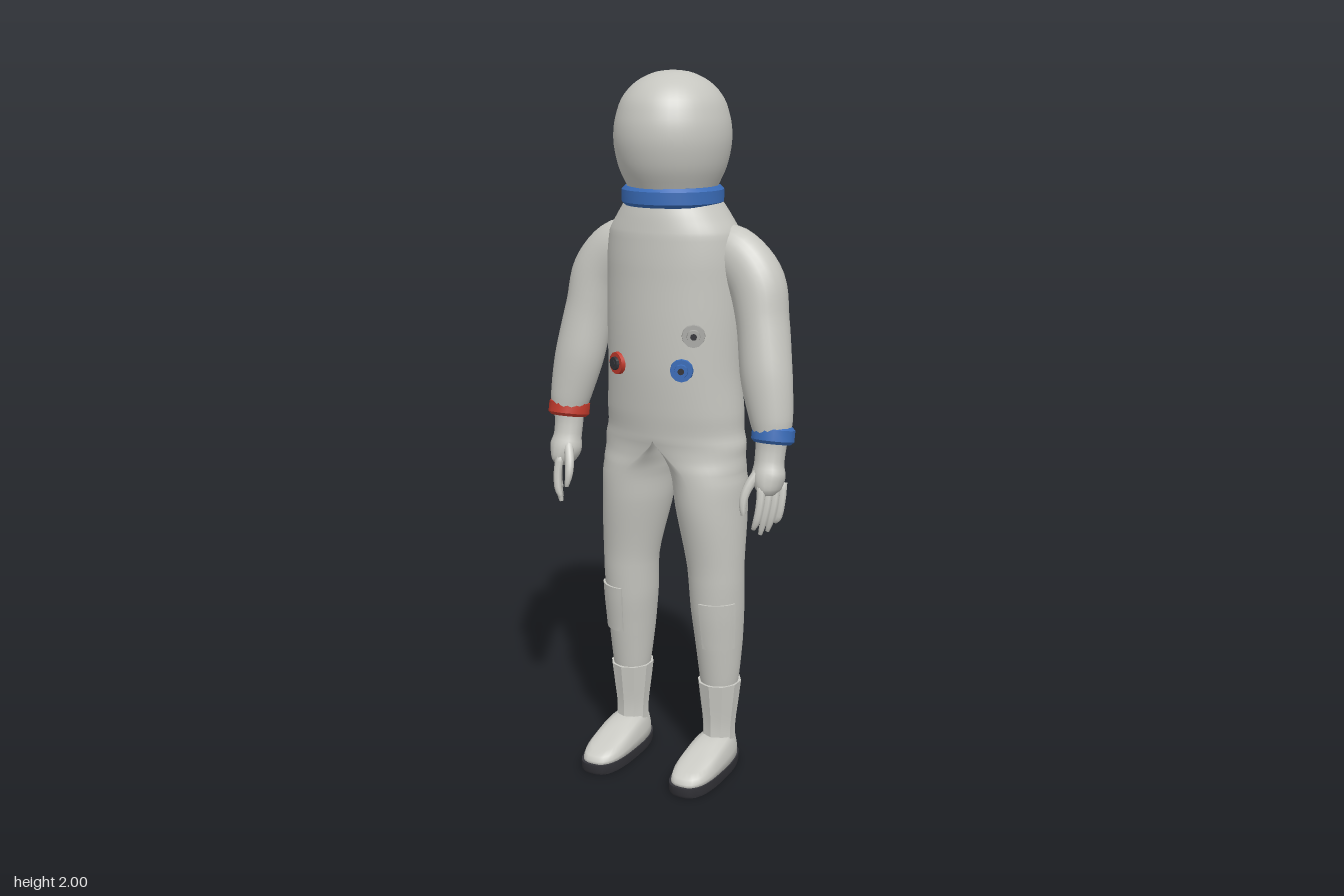
import * as THREE from 'three';
import { mergeGeometries, mergeVertices, toCreasedNormals } from 'three/addons/utils/BufferGeometryUtils.js';

const V = (x, y, z) => new THREE.Vector3(x, y, z);

function material(name, color) {
  const m = new THREE.MeshStandardMaterial({ color });
  m.name = name;
  return m;
}

function add(parent, name, geometry, mat) {
  const mesh = new THREE.Mesh(geometry, mat);
  mesh.name = name;
  parent.add(mesh);
  return mesh;
}

// Joins rings of points into a surface; closed rings get end caps.
function skin(rings, closed = true) {
  const n = rings[0].length, pos = [], idx = [];
  rings.flat().forEach(p => pos.push(p.x, p.y, p.z));
  const cols = closed ? n : n - 1;
  for (let i = 0; i < rings.length - 1; i++) {
    for (let j = 0; j < cols; j++) {
      const k = (j + 1) % n, a = i * n + j, b = i * n + k;
      idx.push(a, b, a + n, b, b + n, a + n);
    }
  }
  if (closed) {
    [0, rings.length - 1].forEach(r => {
      const c = rings[r].reduce((s, p) => s.add(p), V(0, 0, 0)).divideScalar(n);
      const ci = pos.length / 3;
      pos.push(c.x, c.y, c.z);
      for (let j = 0; j < n; j++) {
        const a = r * n + j, b = r * n + (j + 1) % n;
        idx.push(ci, r ? a : b, r ? b : a);
      }
    });
  }
  const g = new THREE.BufferGeometry();
  g.setAttribute('position', new THREE.Float32BufferAttribute(pos, 3));
  g.setIndex(idx);
  g.computeVertexNormals();
  return g;
}

// Splines elliptic sections [x, y, z, outer radius, front-back radius, inner radius] along a path.
// An open arc (from..to) becomes a raised plate whose border drops to the surface.
function loft(sections, { steps = 32, sides = 28, flat = false, from = 0, to = Math.PI * 2, range = [0, 1], grow = 0, minX = -9 } = {}) {
  const centre = new THREE.CatmullRomCurve3(sections.map(s => V(s[0], s[1], s[2])));
  const radii = new THREE.CatmullRomCurve3(sections.map(s => V(s[3], s[4], s[5] ?? s[3])));
  const closed = to - from > 6.28, count = closed ? sides : sides + 1;
  const fraction = (i, n) => closed ? i / n : THREE.MathUtils.clamp((i - 1) / (n - 2), 0, 1);
  const rings = [];
  for (let i = 0; i <= steps; i++) {
    const k = THREE.MathUtils.lerp(...range, fraction(i, steps));
    const c = centre.getPoint(k), r = radii.getPoint(k);
    const t = flat ? V(0, -1, 0) : centre.getTangent(k);
    const u = V(0, 0, 1).addScaledVector(t, -t.z).normalize();
    const v = u.clone().cross(t);
    const ring = [];
    for (let j = 0; j < count; j++) {
      const a = THREE.MathUtils.lerp(from, to, fraction(j, sides));
      const rim = i === 0 || i === steps || j === 0 || j === count - 1;
      const lift = rim ? -grow / 2 : grow;
      const p = c.clone().addScaledVector(v, ((Math.cos(a) < 0 ? r.z : r.x) + lift) * Math.cos(a))
        .addScaledVector(u, (r.y + lift) * Math.sin(a));
      p.x = Math.max(minX, p.x);
      ring.push(p);
    }
    rings.push(ring);
  }
  return skin(rings, closed);
}

// Welds a half body to its mirror image, dropping the faces on the middle plane.
function mirrorWeld(half) {
  const p = half.attributes.position, src = half.index.array, keep = [], flip = [];
  for (let i = 0; i < src.length; i += 3) {
    const [a, b, c] = [src[i], src[i + 1], src[i + 2]];
    if (Math.max(p.getX(a), p.getX(b), p.getX(c)) < 1e-5) continue;
    keep.push(a, b, c);
    flip.push(a, c, b);
  }
  half.deleteAttribute('normal');
  const other = half.clone().scale(-1, 1, 1);
  half.setIndex(keep);
  other.setIndex(flip);
  const whole = mergeVertices(mergeGeometries([half, other]), 1e-5);
  whole.computeVertexNormals();
  return whole;
}

// Bevelled ring for the neck and the wrists.
function band(inner, outer, h, sides) {
  const b = h * 0.18;
  const p = [[inner, -h / 2], [outer - b, -h / 2], [outer, -h / 2 + b], [outer, h / 2 - b], [outer - b, h / 2], [inner, h / 2], [inner, -h / 2]];
  return toCreasedNormals(new THREE.LatheGeometry(p.map(q => new THREE.Vector2(...q)), sides), 0.6);
}

// Shoe outline, narrower at the heel, shrunk by s; y is given as a function of z.
function footRing(s, yAt, n = 32) {
  return Array.from({ length: n }, (_, j) => {
    const a = j / n * Math.PI * 2, c = Math.cos(a), d = Math.sin(a);
    const round = q => Math.sign(q) * Math.abs(q) ** 0.75;
    const z = 0.038 + 0.162 * round(d) * s;
    return V(-(0.063 + 0.006 * d) * round(c) * s, yAt(z), z);
  });
}

export function createModel() {
  const model = new THREE.Group();
  model.name = 'spacesuitFigure';
  const suit = material('suit grey', 0xc6c6c0);
  const bootMat = material('boot grey', 0xcacac4);
  const blue = material('blue trim', 0x3a6cb8);
  const red = material('red trim', 0xc23a2c);
  const dark = material('sole black', 0x333338);
  const metal = material('valve grey', 0xa9a9a5);

  // Torso running into the legs: y, centre x, outer and inner radius, front z, back z
  const body = [
    [1.67, 0, 0.125, 0, 0.085, -0.15], [1.62, 0, 0.16, 0, 0.098, -0.17], [1.57, 0, 0.19, 0, 0.106, -0.183],
    [1.48, 0, 0.2, 0, 0.11, -0.195], [1.35, 0, 0.2, 0, 0.112, -0.194], [1.2, 0, 0.198, 0, 0.11, -0.187],
    [1.08, 0, 0.206, 0, 0.1, -0.187], [1.0, 0, 0.212, 0, 0.09, -0.182], [0.95, 0.045, 0.17, 0.045, 0.08, -0.165],
    [0.9, 0.095, 0.122, 0.088, 0.078, -0.158], [0.8, 0.12, 0.1, 0.1, 0.075, -0.155], [0.62, 0.139, 0.081, 0.081, 0.053, -0.117],
    [0.5, 0.142, 0.076, 0.076, 0.045, -0.123], [0.39, 0.145, 0.067, 0.067, 0.031, -0.121],
    [0.27, 0.147, 0.055, 0.055, 0.013, -0.103], [0.2, 0.147, 0.04, 0.04, 0, -0.09]
  ].map(([y, x, ro, ri, f, b]) => [x, y, (f + b) / 2, ro, (f - b) / 2, ri]);
  add(model, 'bodyAndLegs', mirrorWeld(loft(body, { flat: true, steps: 90, sides: 40, minX: 0 })), suit);

  // Helmet and neck ring
  const dome = new THREE.SplineCurve([[0.108, 1.665], [0.122, 1.695], [0.144, 1.745], [0.156, 1.8], [0.157, 1.845], [0.15, 1.885],
    [0.134, 1.928], [0.1, 1.967], [0.05, 1.993], [0, 2]].map(p => new THREE.Vector2(...p)));
  const helmet = add(model, 'helmet', new THREE.LatheGeometry(dome.getPoints(32), 40), suit);
  helmet.scale.z = 1.09;
  helmet.position.z = -0.028;
  add(model, 'neckRing', band(0.1, 0.14, 0.052, 40), blue).position.set(0, 1.669, -0.028);

  // Arms, hands and boots are built for +x and mirrored
  const armPath = [
    [0.09, 1.54, -0.05, 0.055, 0.05], [0.18, 1.515, -0.048, 0.077, 0.064], [0.245, 1.445, -0.048, 0.08, 0.074],
    [0.273, 1.34, -0.037, 0.072, 0.074], [0.298, 1.2, -0.012, 0.072, 0.068], [0.322, 1.08, 0.002, 0.059, 0.058],
    [0.327, 1.04, 0.006, 0.05, 0.052]];
  const handPath = [
    [0.327, 1.05, 0.004, 0.046, 0.044], [0.325, 1.0, 0.01, 0.042, 0.04], [0.325, 0.965, 0.017, 0.041, 0.04],
    [0.327, 0.93, 0.025, 0.047, 0.046], [0.332, 0.895, 0.033, 0.034, 0.044], [0.334, 0.878, 0.036, 0.018, 0.03]];

  for (const side of [1, -1]) {
    const limbs = new THREE.Group();
    limbs.name = side > 0 ? 'leftLimbs' : 'rightLimbs';
    limbs.scale.x = side;
    model.add(limbs);

    add(limbs, 'arm', loft(armPath), suit);
    const wrist = add(limbs, 'wristRing', band(0.036, 0.06, 0.048, 14), side > 0 ? blue : red);
    wrist.position.set(0.328, 1.041, 0.002);
    wrist.rotation.x = -0.2;

    // Glove with four curled fingers and a thumb
    add(limbs, 'glove', loft(handPath, { steps: 16, sides: 14 }), suit);
    for (let i = 0; i < 4; i++) {
      const x = 0.36 - 0.012 * i, z = 0.002 + 0.02 * i, tip = [0.8, 0.778, 0.772, 0.79][i];
      add(limbs, 'finger', loft([
        [x, 0.91, z, 0.013, 0.012], [x + 0.002, 0.86, z + 0.012, 0.012, 0.012],
        [x - 0.004, 0.815, z + 0.019, 0.011, 0.011], [x - 0.014, tip, z + 0.02, 0.006, 0.006]], { steps: 8, sides: 8 }), suit);
    }
    add(limbs, 'thumb', loft([
      [0.31, 0.95, 0.04, 0.015, 0.015], [0.288, 0.905, 0.068, 0.014, 0.014],
      [0.28, 0.865, 0.085, 0.012, 0.012], [0.284, 0.828, 0.092, 0.006, 0.006]], { steps: 8, sides: 8 }), suit);

    // Knee patch wrapped round the outer front of the leg
    add(limbs, 'kneePatch', toCreasedNormals(loft(body, {
      flat: true, steps: 10, sides: 14, from: 0.4, to: 1.75, range: [0.783, 0.867], grow: 0.006 }), 0.6), suit);

    // Boot: faceted shaft, rounded upper and sole
    const shaft = [[0.27, 0.063, 0.069], [0.2, 0.055, 0.06], [0.13, 0.047, 0.053], [0.08, 0.047, 0.055]];
    add(limbs, 'bootShaft', toCreasedNormals(
      loft(shaft.map(([y, a, b]) => [0.147, y, -0.046, a, b]), { flat: true, steps: 6, sides: 10, from: 0.314, to: 0.314 + Math.PI * 2 }), 0.5), bootMat);
    const instep = z => THREE.MathUtils.lerp(0.092, 0.037, THREE.MathUtils.smoothstep(z, -0.04, 0.2));
    const upper = [[0.95, 0], [0.94, 0.35], [0.89, 0.7], [0.74, 0.92], [0.45, 1], [0.15, 1.02]]
      .map(([s, f]) => footRing(s, z => 0.025 + instep(z) * f * 0.92));
    add(limbs, 'bootUpper', skin(upper), bootMat).position.x = 0.147;
    const sole = toCreasedNormals(skin([footRing(0.97, () => 0), footRing(1, () => 0.008), footRing(1, () => 0.03)]), 0.7);
    add(limbs, 'bootSole', sole, dark).position.x = 0.147;
  }

  // Chest valves facing outward from the torso
  const valves = [['redValve', -0.107, 1.21, red, dark], ['blueValve', 0.092, 1.21, blue, blue], ['greyValve', 0.12, 1.305, metal, metal]];
  for (const [name, x, y, rim, hub] of valves) {
    const valve = new THREE.Group();
    valve.name = name;
    valve.position.set(x, y, -0.046 + 0.15 * Math.sqrt(1 - (x / 0.2) ** 2));
    valve.rotation.y = x * 4.2;
    model.add(valve);
    const disc = (part, r1, r2, depth, z, mat) => {
      const g = new THREE.CylinderGeometry(r1, r2, depth, 12).rotateX(Math.PI / 2);
      add(valve, part, toCreasedNormals(g, 0.6), mat).position.z = z;
    };
    disc('flange', 0.031, 0.034, 0.024, 0.003, rim);
    disc('hub', 0.018, 0.02, 0.014, 0.016, hub);
    disc('port', 0.009, 0.009, 0.004, 0.023, dark);
  }
  return model;
}
